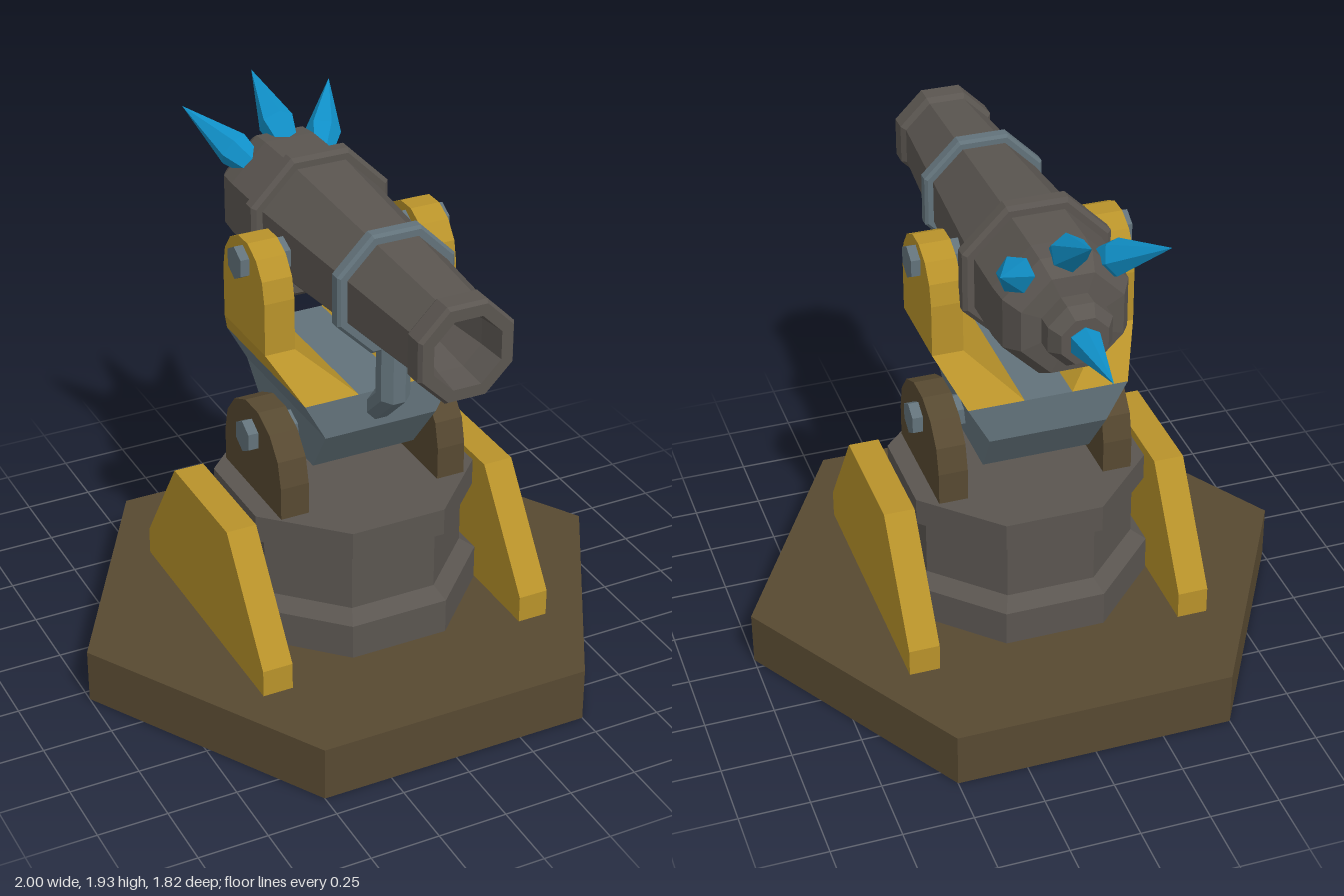
import * as THREE from 'three';

const paint = (color) => new THREE.MeshStandardMaterial({ color, flatShading: true });

export function createModel() {
  const model = new THREE.Group();
  const brown = paint(0x574931), yellow = paint(0xb8922a), iron = paint(0x5a5550);
  const steel = paint(0x62727a), blue = paint(0x1090c8);
  const C8 = Math.cos(Math.PI / 8);

  const add = (name, geometry, material, parent = model) => {
    const mesh = new THREE.Mesh(geometry, material);
    mesh.name = name;
    parent.add(mesh);
    return mesh;
  };

  // Eight-sided turned part; profile is [distance to flat, height]
  const octLathe = (profile) => new THREE.LatheGeometry(
    profile.map(([r, y]) => new THREE.Vector2(r / C8, y)), 8, Math.PI / 8);

  // Skin over matching rings (counter-clockwise seen from above, rising), capped at both ends
  const loft = (rings) => {
    const n = rings[0].length, index = [];
    for (let i = 0; i < rings.length - 1; i++) {
      for (let j = 0; j < n; j++) {
        const a = i * n + j, b = i * n + (j + 1) % n;
        index.push(a, b, b + n, a, b + n, a + n);
      }
    }
    const top = (rings.length - 1) * n;
    for (let j = 1; j < n - 1; j++) index.push(0, j + 1, j, top, top + j, top + j + 1);
    const g = new THREE.BufferGeometry();
    g.setAttribute('position', new THREE.Float32BufferAttribute(rings.flat(2), 3));
    g.setIndex(index);
    const flat = g.toNonIndexed();
    flat.computeVertexNormals();
    return flat;
  };
  const rect = (y, xa, xb, z0, z1) => {
    const x0 = Math.min(xa, xb), x1 = Math.max(xa, xb);
    return [[x0, y, z1], [x1, y, z1], [x1, y, z0], [x0, y, z0]];
  };

  // Upright plate from a [z, y] outline, mirrored to both sides
  const platePair = (name, outline, x0, x1, material) => {
    const shape = new THREE.Shape(outline.map(([z, y]) => new THREE.Vector2(z, y)));
    for (const side of [1, -1]) {
      const g = new THREE.ExtrudeGeometry(shape, { depth: x1 - x0, bevelEnabled: false });
      g.rotateY(-Math.PI / 2).translate(side > 0 ? x1 : -x0, 0, 0);
      add((side > 0 ? 'left' : 'right') + name, g, material);
    }
  };
  const arch = (zc, w, bottom, spring, rise) => {
    const pts = [[zc - w, bottom], [zc + w, bottom]];
    for (let i = 0; i <= 7; i++) {
      const a = i / 7 * Math.PI;
      pts.push([zc + w * Math.cos(a), spring + rise * Math.sin(a)]);
    }
    return pts;
  };

  // Hexagonal base
  const base = add('base', new THREE.CylinderGeometry(1, 1, 0.2, 6, 1, false, Math.PI / 2), brown);
  base.position.set(0, 0.1, 0.045);

  // Octagonal pedestal
  const pedestal = add('pedestal', octLathe([[0, 0.2], [0.44, 0.2], [0.44, 0.33], [0.387, 0.37],
    [0.387, 0.6], [0.425, 0.6], [0.425, 0.7], [0, 0.7]]), iron);
  pedestal.position.z = 0.045;

  // Side buttresses and pivot brackets
  platePair('Buttress', [[-0.45, 0.2], [0.55, 0.2], [0.55, 0.3], [0.27, 0.7], [-0.18, 0.7], [-0.45, 0.3]],
    0.445, 0.555, yellow);
  platePair('Bracket', arch(0.05, 0.23, 0.7, 0.82, 0.215), 0.25, 0.355, brown);

  // Hexagonal pivot axles
  for (const [name, y, z] of [['lowerAxle', 0.92, 0.05], ['upperAxle', 1.57, 0.015]]) {
    const g = new THREE.CylinderGeometry(0.06, 0.06, 0.785, 6, 1, false, Math.PI / 2);
    add(name, g.rotateZ(Math.PI / 2), steel).position.set(0, y, z);
  }

  // Cradle body
  add('cradle', loft([rect(0.83, -0.195, 0.195, -0.18, 0.2), rect(1.01, -0.21, 0.21, -0.305, 0.33),
    rect(1.15, -0.285, 0.285, -0.305, 0.33)]), steel);

  // Cradle shoulders and arms
  for (const s of [1, -1]) {
    add(s > 0 ? 'leftShoulder' : 'rightShoulder', loft([rect(1.15, s * 0.085, s * 0.285, -0.305, 0.33),
      rect(1.29, s * 0.25, s * 0.36, -0.15, 0.18)]), yellow);
  }
  platePair('Arm', arch(0.015, 0.165, 1.29, 1.48, 0.175), 0.25, 0.36, yellow);

  // Barrel, from breech to muzzle and back down the bore
  const barrel = new THREE.Group();
  barrel.name = 'barrel';
  barrel.position.y = 1.57;
  model.add(barrel);
  add('barrelBody', octLathe([[0, -0.645], [0.08, -0.645], [0.11, -0.6], [0.11, -0.54], [0.175, -0.53],
    [0.215, -0.46], [0.222, -0.38], [0.222, -0.19], [0.245, -0.19], [0.26, -0.178], [0.26, -0.138],
    [0.245, -0.125], [0.222, -0.125], [0.155, 0.81], [0.17, 0.83], [0.17, 0.895], [0.16, 0.91],
    [0.12, 0.91], [0.11, 0.8], [0.075, 0.6], [0, 0.6]]).rotateX(Math.PI / 2), iron, barrel);
  add('barrelBand', octLathe([[0.17, 0.38], [0.205, 0.38], [0.215, 0.39], [0.215, 0.425],
    [0.205, 0.435], [0.17, 0.435]]).rotateX(Math.PI / 2), steel, barrel);

  // Bent strut from cradle to band; each ring blends between its front and back [y, z]
  const strutRing = ([y0, z0], [y1, z1]) => Array.from({ length: 8 }, (_, i) => {
    const a = (i + 0.5) / 8 * Math.PI * 2, t = (Math.cos(a) / C8 + 1) / 2;
    return [0.055 * Math.sin(a) / C8, y1 + (y0 - y1) * t, z1 + (z0 - z1) * t];
  });
  add('strut', loft([strutRing([1.01, 0.3], [1.13, 0.3]), strutRing([1.16, 0.46], [1.19, 0.365]),
    strutRing([1.4, 0.46], [1.4, 0.365])]), steel);

  // Crystal spikes on the breech
  const spike = (name, from, to, radius) => {
    const a = new THREE.Vector3(...from), dir = new THREE.Vector3(...to).sub(a);
    const len = dir.length();
    const g = new THREE.LatheGeometry([[0, 0], [radius * 0.65, 0], [radius, len * 0.3], [0, len]]
      .map(([r, y]) => new THREE.Vector2(r, y)), 6);
    const mesh = add(name, g, blue);
    mesh.position.copy(a);
    mesh.quaternion.setFromUnitVectors(new THREE.Vector3(0, 1, 0), dir.normalize());
  };
  spike('rearSpike', [0, 1.567, -0.54], [0, 1.567, -0.905], 0.056);
  spike('topSpike', [0, 1.755, -0.4], [0, 1.93, -0.69], 0.064);
  for (const s of [1, -1]) {
    spike(s > 0 ? 'leftSpike' : 'rightSpike', [s * 0.125, 1.7, -0.39], [s * 0.285, 1.86, -0.65], 0.064);
  }
  return model;
}
